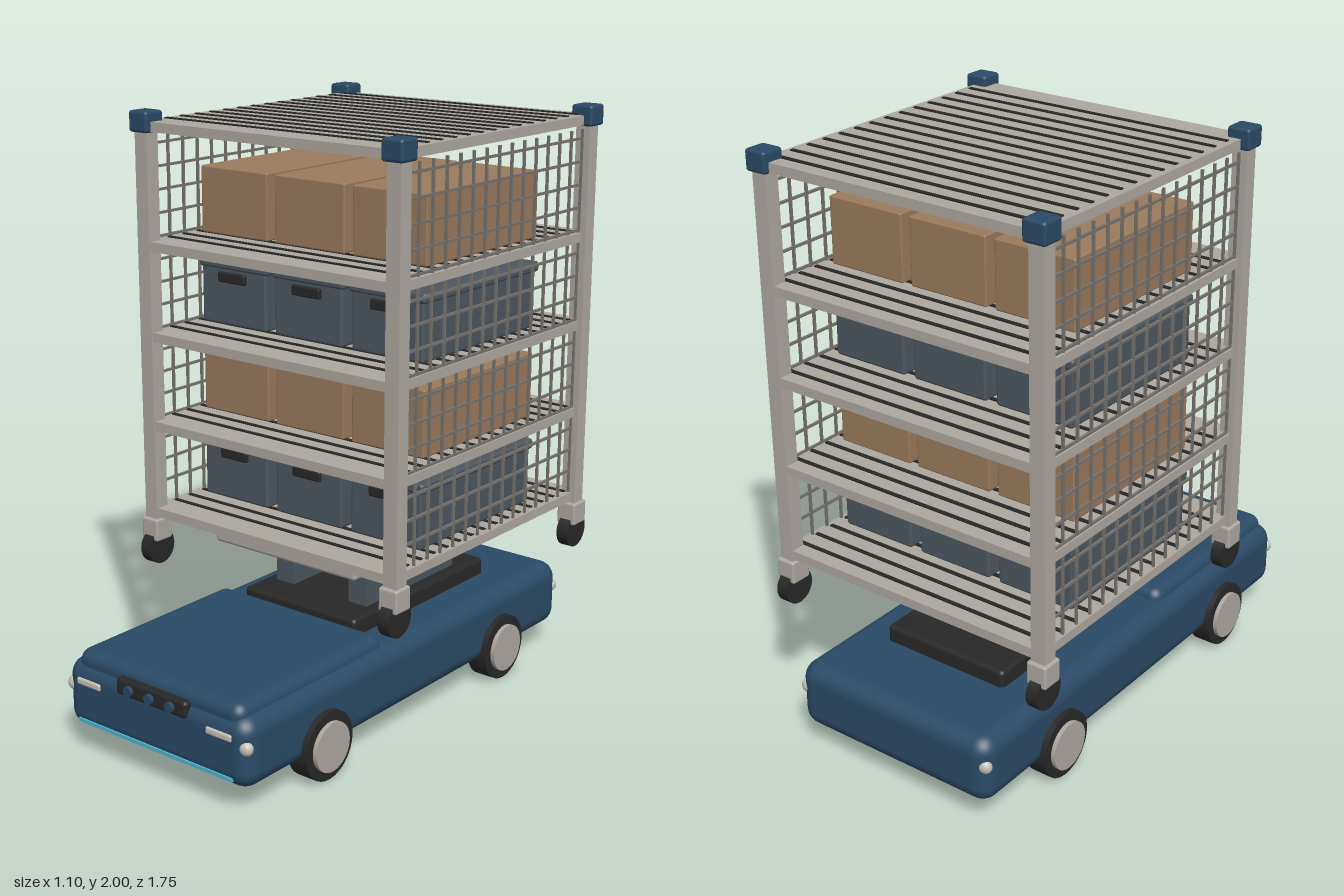
import * as THREE from 'three';
import { RoundedBoxGeometry } from 'three/addons/geometries/RoundedBoxGeometry.js';

const mat = (name, color) => {
  const m = new THREE.MeshStandardMaterial({ color });
  m.name = name;
  return m;
};

export function createModel() {
  const navy = mat('navy', 0x2a4a66);
  const frame = mat('warm grey', 0xaea89f);
  const wire = mat('wire grey', 0x77736d);
  const card = mat('cardboard', 0x9a7a5c);
  const slate = mat('slate', 0x4d5760);
  const black = mat('black', 0x282828);
  const cyan = mat('cyan', 0x4fb4d0);
  const lamp = mat('lamp', 0xc4c0b8);

  const model = new THREE.Group();
  model.name = 'shelfCarrier';
  const group = (name) => {
    const g = new THREE.Group();
    g.name = name;
    model.add(g);
    return g;
  };
  const add = (parent, name, geo, m, x, y, z) => {
    const mesh = new THREE.Mesh(geo, m);
    mesh.name = name;
    mesh.position.set(x, y, z);
    parent.add(mesh);
    return mesh;
  };
  // Boxes given by their lower and upper limits; r rounds the edges
  const box = (parent, name, m, [x0, x1], [y0, y1], [z0, z1], r = 0) => {
    const s = [x1 - x0, y1 - y0, z1 - z0];
    const geo = r ? new RoundedBoxGeometry(...s, r > 0.03 ? 5 : 2, r) : new THREE.BoxGeometry(...s);
    return add(parent, name, geo, m, (x0 + x1) / 2, (y0 + y1) / 2, (z0 + z1) / 2);
  };
  const wheel = (parent, name, m, r, w, x, y, z) => {
    const geo = new THREE.CylinderGeometry(r, r, w, 32).rotateZ(Math.PI / 2);
    return add(parent, name, geo, m, x, y, z);
  };

  // Vehicle body
  const base = group('vehicle');
  box(base, 'body', navy, [-0.39, 0.39], [0.085, 0.322], [-0.873, 0.855], 0.06);
  box(base, 'hood', navy, [-0.35, 0.35], [0.25, 0.356], [0.13, 0.838], 0.04);

  // Wheels with hubs
  for (const s of [-1, 1]) {
    for (const z of [0.49, -0.485]) {
      wheel(base, 'tyre', black, 0.115, 0.075, s * 0.373, 0.117, z);
      wheel(base, 'hub', frame, 0.083, 0.03, s * 0.41, 0.117, z);
    }
    // Headlights and corner lamps
    box(base, 'headlight', lamp, [s * 0.278 - 0.053, s * 0.278 + 0.053], [0.245, 0.27], [0.84, 0.861], 0.008);
    for (const z of [0.832, -0.848]) {
      const c = add(base, 'cornerLamp', new THREE.SphereGeometry(0.024, 16, 12), lamp, s * 0.368, 0.23, z);
      c.scale.z = 0.85;
    }
  }

  // Front sensor panel and light strip
  box(base, 'sensorPanel', black, [-0.15, 0.15], [0.265, 0.322], [0.82, 0.863], 0.012);
  for (const x of [-0.088, 0, 0.088]) {
    const geo = new THREE.CylinderGeometry(0.017, 0.017, 0.02, 20).rotateX(Math.PI / 2);
    add(base, 'lens', geo, navy, x, 0.293, 0.865);
  }
  box(base, 'lightStrip', cyan, [-0.33, 0.33], [0.115, 0.127], [0.845, 0.858]);

  // Lift
  const lift = group('lift');
  box(lift, 'liftBase', black, [-0.24, 0.24], [0.3, 0.38], [-0.595, 0.15], 0.015);
  for (const s of [-1, 1]) {
    box(lift, 'liftColumn', slate, [s * 0.158 - 0.039, s * 0.158 + 0.039], [0.37, 0.56], [-0.463, 0.03]);
  }
  box(lift, 'liftPlatform', frame, [-0.3, 0.3], [0.555, 0.615], [-0.66, 0.228], 0.012);

  // Corner posts, caps and casters
  const rack = group('rack');
  const zMid = -0.223;
  for (const x of [-0.51, 0.51]) {
    for (const z of [0.295, -0.741]) {
      box(rack, 'post', frame, [x - 0.026, x + 0.026], [0.6, 1.95], [z - 0.026, z + 0.026]);
      box(rack, 'postCap', navy, [x - 0.04, x + 0.04], [1.93, 2], [z - 0.04, z + 0.04], 0.01);
      box(rack, 'casterFork', frame, [x - 0.036, x + 0.036], [0.537, 0.617], [z - 0.038, z + 0.038], 0.008);
      wheel(rack, 'casterWheel', black, 0.06, 0.042, x, 0.51, z);
    }
  }

  // Shelves with dark strips across the deck
  for (const top of [0.655, 0.963, 1.27, 1.575, 1.966]) {
    box(rack, 'shelf', frame, [-0.52, 0.52], [top - 0.032, top], [-0.763, 0.315]);
    for (let i = 0; i < 14; i++) {
      const z = -0.705 + i * 0.0705;
      box(rack, 'deckStrip', black, [-0.5, 0.5], [top - 0.002, top + 0.004], [z - 0.007, z + 0.007]);
    }
  }

  // Wire mesh on both sides
  const mesh = group('wireMesh');
  const w = 0.004;
  for (const x of [-0.51, 0.51]) {
    for (let i = 0; i < 15; i++) {
      const z = 0.266 - i * 0.07;
      box(mesh, 'uprightWire', wire, [x - w, x + w], [0.655, 1.92], [z - w, z + w]);
    }
    for (let i = 0; i < 16; i++) {
      const y = 0.735 + i * 0.077;
      box(mesh, 'crossWire', wire, [x - w, x + w], [y - w, y + w], [-0.72, 0.275]);
    }
  }

  // Lidded bins and cardboard boxes on alternate shelves
  const load = group('load');
  for (const x of [-0.32, 0, 0.32]) {
    for (const y of [0.66, 1.275]) {
      box(load, 'bin', slate, [x - 0.141, x + 0.141], [y, y + 0.2], [zMid - 0.308, zMid + 0.32], 0.01);
      box(load, 'binLid', slate, [x - 0.15, x + 0.15], [y + 0.19, y + 0.225], [zMid - 0.317, zMid + 0.325], 0.01);
      box(load, 'binHandle', black, [x - 0.058, x + 0.058], [y + 0.148, y + 0.182], [zMid + 0.315, zMid + 0.334], 0.005);
    }
    for (const y of [0.967, 1.579]) {
      box(load, 'cardboardBox', card, [x - 0.144, x + 0.144], [y, y + 0.224], [zMid - 0.302, zMid + 0.313], 0.006);
    }
  }

  return model;
}
